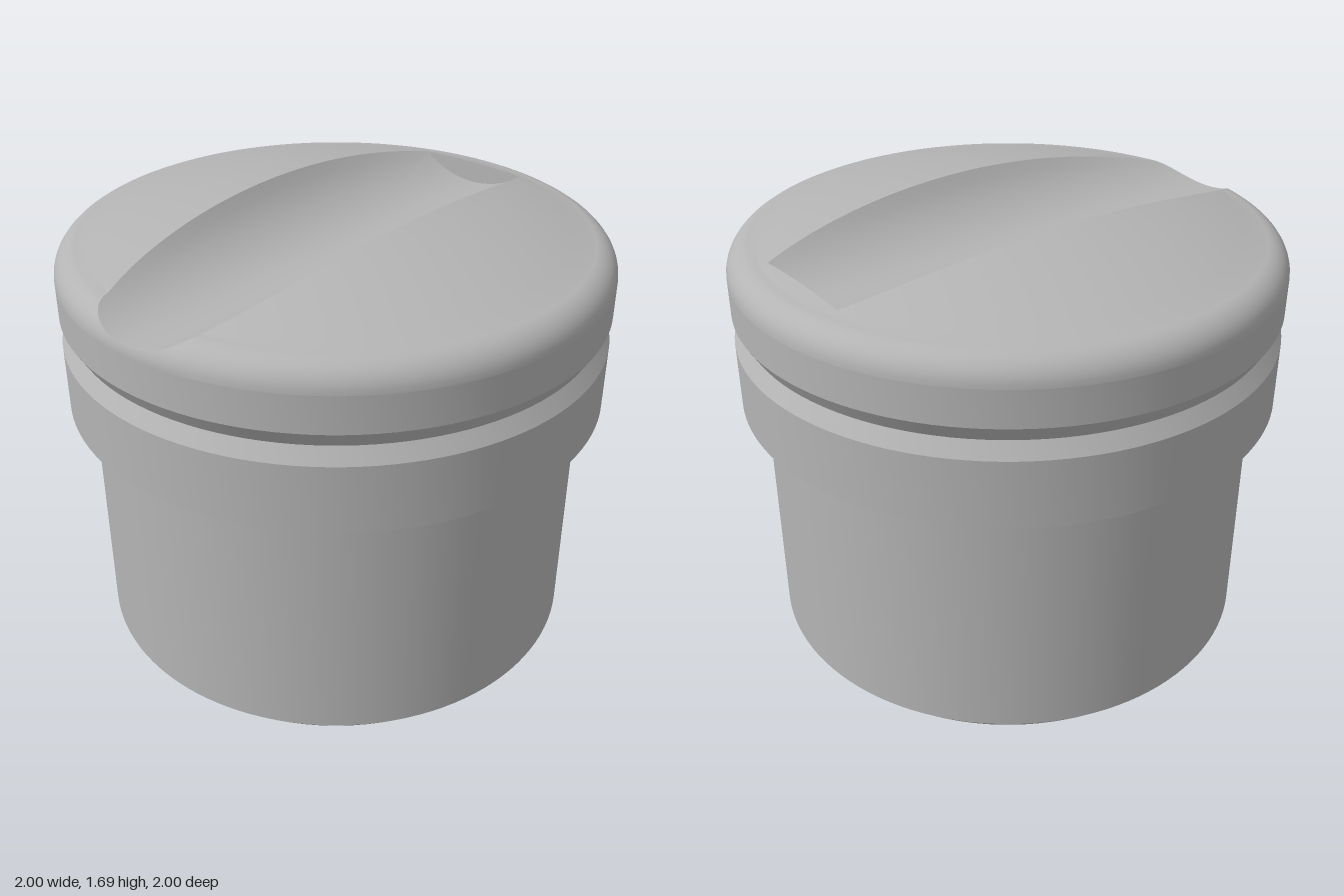
import * as THREE from 'three';
import { toCreasedNormals } from 'three/addons/utils/BufferGeometryUtils.js';

const WALL_X = 0.84;                       // closed end of the finger groove
const DOME_R = 0.9, FILLET = 0.1, S_END = DOME_R + FILLET * Math.PI / 2;
const domeY = (r) => 1.71 - r * r / 6.6;
const grooveY = (z) => 1.8975 - Math.sqrt(0.1414 - Math.min(z * z, 0.1414));

// Top profile: shallow dome, then a rounded rim. Returns [radius, height].
function profile(s) {
  if (s <= DOME_R) return [s, domeY(s)];
  const a = (s - DOME_R) / FILLET;
  return [DOME_R + FILLET * Math.sin(a), 1.49 + (domeY(DOME_R) - 1.49) * Math.cos(a)];
}

// Profile position where the ray at angle t leaves the groove
function grooveEdge(t) {
  let lo = 0, hi = S_END;
  for (let k = 0; k < 40; k++) {
    const m = (lo + hi) / 2, [r, y] = profile(m);
    if (y > grooveY(r * Math.sin(t))) lo = m; else hi = m;
  }
  return Math.cos(t) > 0 ? Math.min(lo, WALL_X / Math.cos(t)) : lo;
}

// Indexed grid surface, optionally closed in the first direction
function grid(nu, nv, closed, point) {
  const pos = [], idx = [], cols = closed ? nu : nu + 1;
  for (let i = 0; i < cols; i++) for (let j = 0; j <= nv; j++) pos.push(...point(i, j));
  for (let i = 0; i < nu; i++) for (let j = 0; j < nv; j++) {
    const a = i * (nv + 1) + j, b = ((i + 1) % cols) * (nv + 1) + j;
    idx.push(a, b, a + 1, b, b + 1, a + 1);
  }
  const g = new THREE.BufferGeometry();
  g.setAttribute('position', new THREE.Float32BufferAttribute(pos, 3));
  g.setIndex(idx);
  g.computeVertexNormals();
  return g;
}

export function createModel() {
  const group = new THREE.Group();
  const grey = new THREE.MeshStandardMaterial({ color: 0xb4b4b4 });
  grey.name = 'grey';
  const add = (name, geometry) => {
    const mesh = new THREE.Mesh(geometry, grey);
    mesh.name = name;
    group.add(mesh);
  };

  // Hollow body: cavity, bottom rim, chamfer, collar and V-shaped ring groove
  const outline = [[0, 1.2], [0.8, 1.2], [0.8, 0], [0.86, 0], [0.915, 0.06], [0.915, 0.99],
    [1, 0.99], [1, 1.24], [0.965, 1.295], [1, 1.355], [1, 1.49]];
  const body = new THREE.LatheGeometry(outline.map(([x, y]) => new THREE.Vector2(x, y)), 120);
  add('body', toCreasedNormals(body, 0.4));

  // Angles around the top, with the two corners of the closed groove end
  let lo = 0, hi = 0.5;
  for (let k = 0; k < 40; k++) {
    const z = (lo + hi) / 2;
    if (domeY(Math.hypot(WALL_X, z)) > grooveY(z)) lo = z; else hi = z;
  }
  const halfWidth = lo, corner = Math.atan2(halfWidth, WALL_X);
  const angles = [corner, 2 * Math.PI - corner];
  for (let i = 0; i < 360; i++) angles.push(i * Math.PI / 180);
  angles.sort((a, b) => a - b);
  const edges = angles.map(grooveEdge);
  const polar = (r, y, t) => [r * Math.cos(t), y, r * Math.sin(t)];

  // Domed top and rounded rim around the groove
  add('domedTop', grid(angles.length, 16, true, (i, j) => {
    const s0 = edges[i], s1 = Math.max(s0, DOME_R);
    const s = j <= 7 ? s0 + (s1 - s0) * j / 7 : s1 + (S_END - s1) * (j - 7) / 9;
    const [r, y] = profile(s);
    return polar(r, y, angles[i]);
  }));

  // Rounded groove floor, running out through the rim at -x
  add('fingerGroove', grid(angles.length, 12, true, (i, j) => {
    const r = profile(edges[i])[0] * j / 12;
    return polar(r, grooveY(r * Math.sin(angles[i])), angles[i]);
  }));

  // Upright wall closing the groove at +x
  add('grooveEndWall', grid(24, 1, false, (i, j) => {
    const z = halfWidth * (i / 12 - 1);
    return [WALL_X, j ? domeY(Math.hypot(WALL_X, z)) : grooveY(z), z];
  }));

  // Off-centre rectangular tube inside the cavity
  const rect = (Type, x0, x1, z) => {
    const p = new Type();
    p.moveTo(x0, -z).lineTo(x1, -z).lineTo(x1, z).lineTo(x0, z).closePath();
    return p;
  };
  const section = rect(THREE.Shape, -0.08, 0.745, 0.3);
  section.holes.push(rect(THREE.Path, 0.025, 0.645, 0.18));
  const tube = new THREE.ExtrudeGeometry(section, { depth: 1.2, bevelEnabled: false });
  add('innerTube', tube.rotateX(-Math.PI / 2));

  return group;
}
